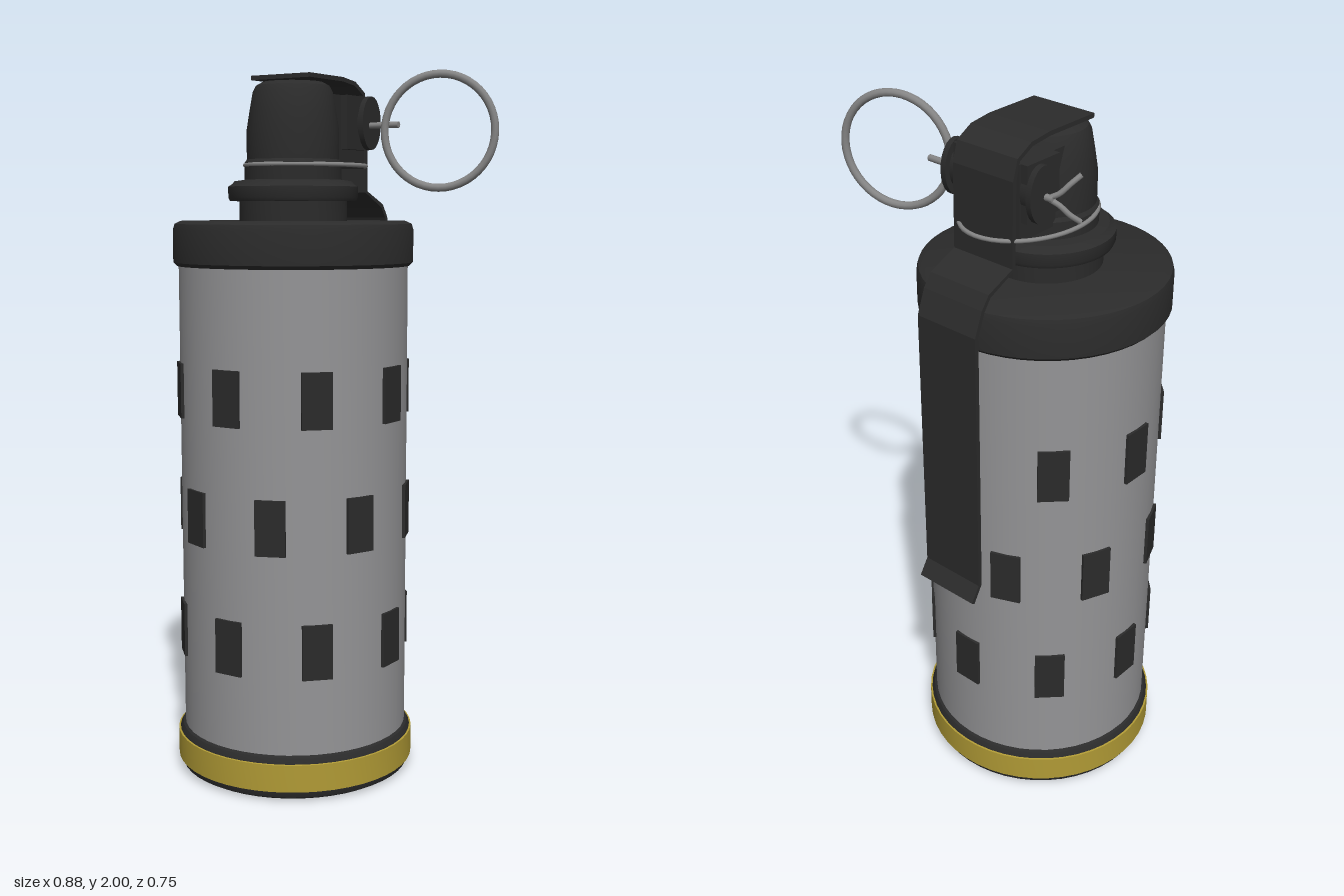
import * as THREE from 'three';
import { toCreasedNormals } from 'three/addons/utils/BufferGeometryUtils.js';

const mat = (name, color) => new THREE.MeshStandardMaterial({ name, color });
const CX = -0.1, CZ = 0.03; // axis of the canister

export function createModel() {
  const black = mat('black', 0x2b2b2b);
  const grey = mat('body grey', 0x949496);
  const yellow = mat('band yellow', 0xb09a35);
  const steel = mat('steel', 0x858585);
  const model = new THREE.Group();
  model.name = 'canister';

  const add = (name, geometry, material, x = 0, y = 0, z = 0) => {
    const mesh = new THREE.Mesh(geometry, material);
    mesh.name = name;
    mesh.position.set(x, y, z);
    model.add(mesh);
    return mesh;
  };
  // turned part around the canister axis, profile listed from bottom to top
  const turned = (name, profile, material) => add(name, toCreasedNormals(
    new THREE.LatheGeometry(profile.map(p => new THREE.Vector2(...p)), 48), 0.5), material, CX, 0, CZ);
  const wire = (name, points, radius, closed = false) => add(name, new THREE.TubeGeometry(
    new THREE.CatmullRomCurve3(points.map(p => new THREE.Vector3(...p)), closed),
    closed ? 48 : 12, radius, 8, closed), steel);

  // canister
  turned('base', [[0, 0], [0.315, 0], [0.333, 0.01], [0.34, 0.03], [0.34, 0.11], [0.332, 0.125], [0.32, 0.132], [0.3, 0.132]], black);
  turned('yellowBand', [[0.335, 0.028], [0.345, 0.03], [0.345, 0.108], [0.335, 0.11]], yellow);
  turned('body', [[0.325, 0.12], [0.325, 1.48]], grey);
  turned('topCap', [[0.3, 1.465], [0.33, 1.465], [0.34, 1.475], [0.34, 1.565], [0.335, 1.582], [0.318, 1.59], [0, 1.59]], black);

  // three staggered rows of vents
  [0.423, 0.77, 1.117].forEach((y, row) => {
    for (let i = 0; i < 8; i++) {
      const a = (i + (row === 1 ? 0.5 : 0)) * Math.PI / 4;
      const vent = add('vent', new THREE.BoxGeometry(0.085, 0.155, 0.02), black,
        CX + Math.sin(a) * 0.321, y, CZ + Math.cos(a) * 0.321);
      vent.rotation.y = a;
    }
  });

  // fuze neck, flange and domed head
  turned('neck', [[0.152, 1.58], [0.152, 1.645]], black);
  turned('flange', [[0.14, 1.645], [0.178, 1.645], [0.183, 1.655], [0.183, 1.685], [0.172, 1.692], [0.165, 1.7], [0.13, 1.705]], black);
  turned('fuzeHead', [[0.137, 1.69], [0.137, 1.75], [0.13, 1.76], [0.13, 1.84], [0.122, 1.89], [0.112, 1.945], [0.103, 1.962], [0.085, 1.972], [0, 1.972]], black);
  add('leverMount', new THREE.BoxGeometry(0.2, 0.2, 0.18), black, CX, 1.84, -0.1);

  // pivot lugs on both sides
  for (const side of [-1, 1]) {
    add('lugPlate', new THREE.BoxGeometry(0.02, 0.15, 0.12), black, CX + side * 0.11, 1.865, -0.125);
    const lug = (name, r, depth, x) => {
      const g = new THREE.CylinderGeometry(r, r, depth, 24);
      g.rotateZ(Math.PI / 2);
      g.scale(1, 1.5, 1);
      add(name, g, black, CX + side * x, 1.865, -0.155);
    };
    lug('lugDisc', 0.05, 0.016, 0.139);
    lug('lugBoss', 0.035, 0.04, 0.12);
  }

  // safety lever: bent strip, path in (z, y)
  const path = [[0.095, 1.984], [-0.075, 1.984], [-0.14, 1.976], [-0.188, 1.95], [-0.203, 1.9], [-0.205, 1.672],
    [-0.295, 1.632], [-0.318, 1.6], [-0.343, 1.535], [-0.343, 0.77], [-0.372, 0.722]].map(p => new THREE.Vector2(-p[0], p[1]));
  const offset = d => path.map((p, i) => {
    const t = path[Math.min(i + 1, path.length - 1)].clone().sub(path[Math.max(i - 1, 0)]).normalize();
    return new THREE.Vector2(p.x - t.y * d, p.y + t.x * d);
  });
  const strip = new THREE.Shape([...offset(0.006), ...offset(-0.006).reverse()]);
  const lever = new THREE.ExtrudeGeometry(strip, { depth: 0.196, bevelEnabled: false });
  lever.rotateY(Math.PI / 2);
  add('safetyLever', lever, black, CX - 0.096, 0, 0);

  // oval wire around the head
  const oval = [];
  for (let i = 0; i < 24; i++) {
    const a = i / 24 * Math.PI * 2;
    oval.push([CX + Math.sin(a) * 0.157, 1.745, -0.037 + Math.cos(a) * 0.203]);
  }
  wire('retainingWire', oval, 0.006, true);

  // pull pin with splayed ends
  const pin = new THREE.CylinderGeometry(0.009, 0.009, 0.41, 10);
  pin.rotateZ(Math.PI / 2);
  add('pin', pin, steel, -0.065, 1.858, -0.147);
  for (const s of [-1, 1]) {
    wire('pinEnd', [[-0.26, 1.858 + s * 0.003, -0.147], [-0.28, 1.858 + s * 0.015, -0.137],
      [-0.3, 1.858 + s * 0.04, -0.12], [-0.315, 1.858 + s * 0.06, -0.098]], 0.007);
  }

  // pull ring
  const ring = add('pullRing', new THREE.TorusGeometry(0.154, 0.011, 10, 48), steel, 0.283, 1.835, -0.123);
  ring.rotation.y = 0.32;

  return model;
}
